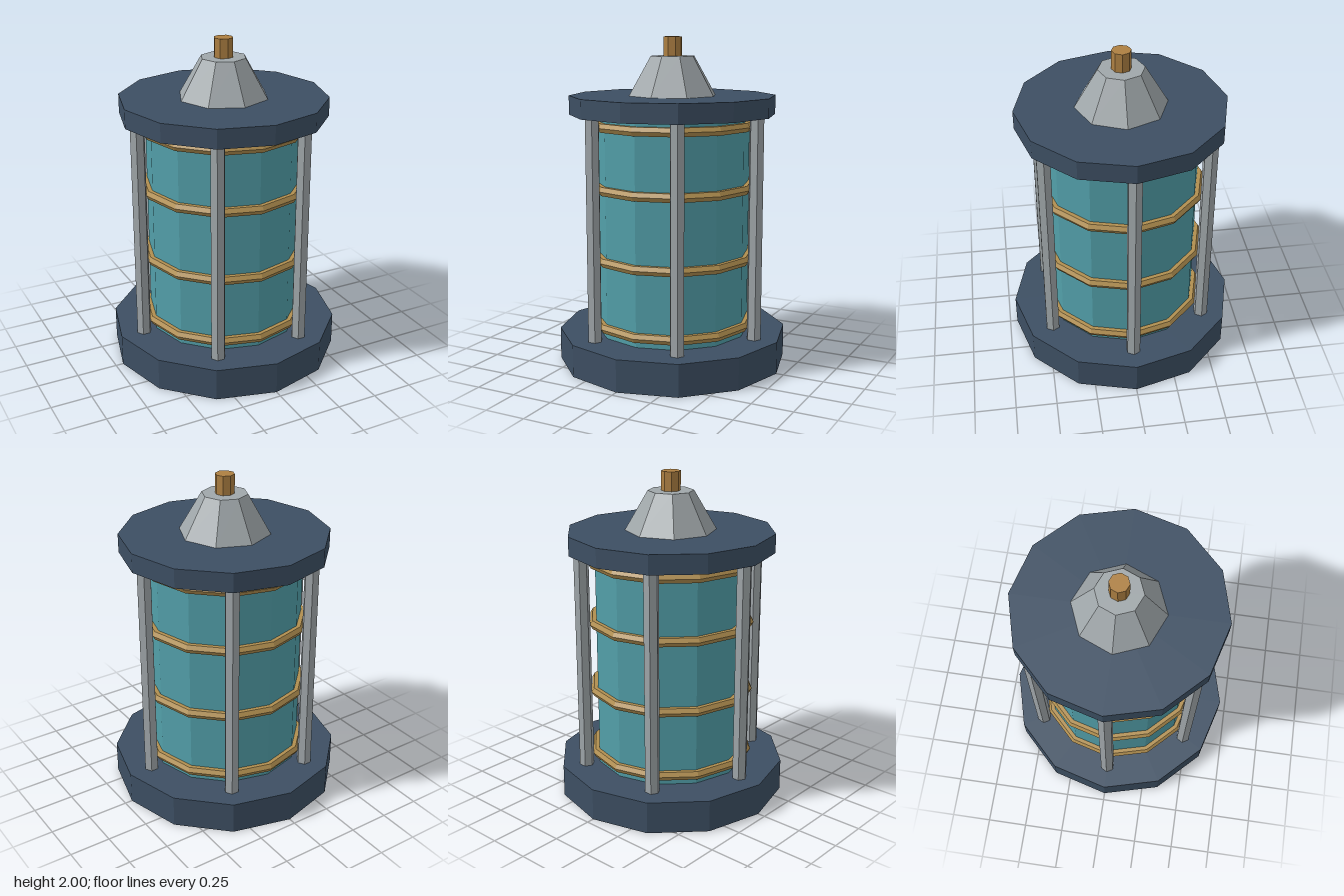
import * as THREE from 'three';

const material = (name, color) => {
  const m = new THREE.MeshStandardMaterial({ color, flatShading: true });
  m.name = name;
  return m;
};

export function createModel() {
  const model = new THREE.Group();
  model.name = 'cagedCanister';

  const slate = material('slate blue', 0x3d4f63);
  const teal = material('teal', 0x529fa9);
  const steel = material('steel grey', 0xa0a7aa);
  const brass = material('brass', 0xb18f50);
  const copper = material('copper', 0xae8042);

  // Faceted drum standing between two heights
  const drum = (name, mat, rBottom, rTop, y0, y1, sides) => {
    const mesh = new THREE.Mesh(new THREE.CylinderGeometry(rTop, rBottom, y1 - y0, sides), mat);
    mesh.position.y = (y0 + y1) / 2;
    mesh.name = name;
    model.add(mesh);
    return mesh;
  };

  drum('base', slate, 0.704, 0.704, 0, 0.197, 12);
  drum('vessel', teal, 0.47, 0.47, 0.197, 1.535, 12);
  drum('lid', slate, 0.626, 0.626, 1.535, 1.65, 12);
  drum('cone', steel, 0.274, 0.137, 1.65, 1.885, 8);
  drum('tip', copper, 0.058, 0.058, 1.885, 2, 8);

  // Hexagonal posts around the vessel
  for (let i = 0; i < 6; i++) {
    const a = (i * Math.PI) / 3;
    const post = drum('post' + (i + 1), steel, 0.045, 0.045, 0.19, 1.54, 6);
    post.position.x = 0.553 * Math.cos(a);
    post.position.z = 0.553 * Math.sin(a);
    post.rotation.y = Math.PI / 6;
  }

  // Bands around the vessel
  [0.26, 0.67, 1.103, 1.477].forEach((y, i) => {
    const band = new THREE.Mesh(new THREE.TorusGeometry(0.48, 0.03, 6, 12), brass);
    band.rotation.x = Math.PI / 2;
    band.position.y = y;
    band.name = 'band' + (i + 1);
    model.add(band);
  });

  return model;
}
